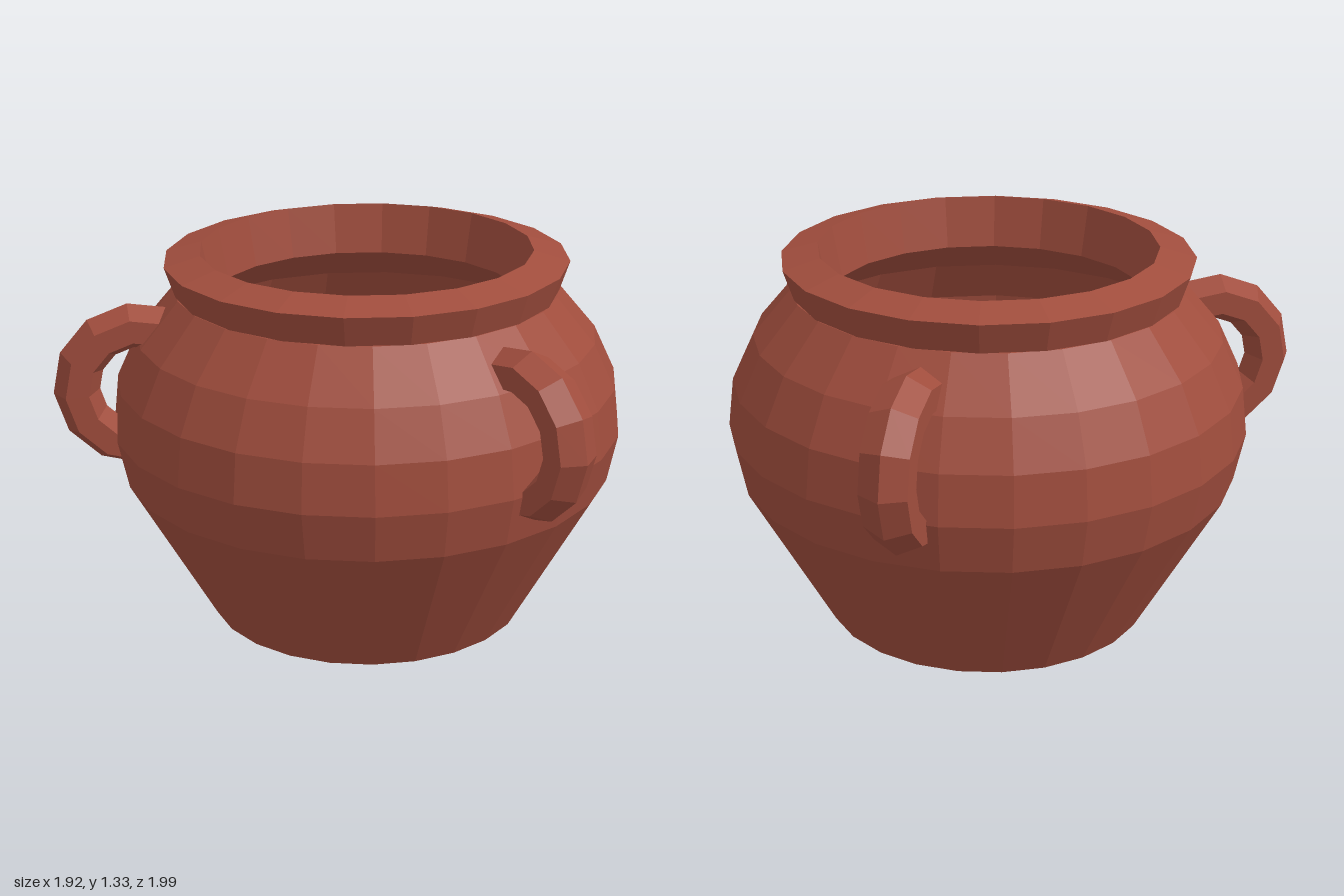
import * as THREE from 'three';

const lathe = (profile, sides) =>
  new THREE.LatheGeometry(profile.map(([r, y]) => new THREE.Vector2(r, y)), sides, Math.PI / sides);

export function createModel() {
  const pot = new THREE.Group();
  pot.name = 'pot';
  const clay = new THREE.MeshStandardMaterial({ color: 0xa04d3d, flatShading: true });
  clay.name = 'terracotta';

  const add = (name, geometry, parent = pot) => {
    const mesh = new THREE.Mesh(geometry, clay);
    mesh.name = name;
    parent.add(mesh);
    return mesh;
  };

  // Outer belly, from the base up to the shoulder
  add('body', lathe([
    [0, 0], [0.57, 0], [0.865, 0.53], [0.9, 0.7], [0.88, 0.87],
    [0.805, 1.03], [0.67, 1.19], [0.6, 1.195],
  ], 24));

  // Flared lip with a raised inner edge
  add('rim', lathe([
    [0.6, 1.19], [0.67, 1.19], [0.705, 1.295], [0.58, 1.33], [0.545, 1.15],
  ], 20));

  // Hollow inside, from the neck down to the floor
  add('interior', lathe([
    [0.545, 1.15], [0.72, 1.02], [0.8, 0.87], [0.82, 0.7], [0.78, 0.55], [0.5, 0.06], [0, 0.06],
  ], 20));

  // Three six-sided loop handles, evenly spaced round the belly
  const step = THREE.MathUtils.degToRad(29);
  const loop = new THREE.TorusGeometry(0.217, 0.08, 6, 7, step * 7);
  loop.rotateZ(-step * 3.1);
  loop.scale(1, 1, 1.15);
  loop.rotateY(-Math.PI / 2);
  loop.translate(0, 0.87, 0.803);
  for (let i = 0; i < 3; i++) {
    const handle = add('handle', loop);
    handle.rotation.y = (i * Math.PI * 2) / 3;
  }

  // The front handle shifts the pot's axis back from the centre
  pot.position.z = -0.1;
  const model = new THREE.Group();
  model.name = 'claypot';
  model.add(pot);
  return model;
}
